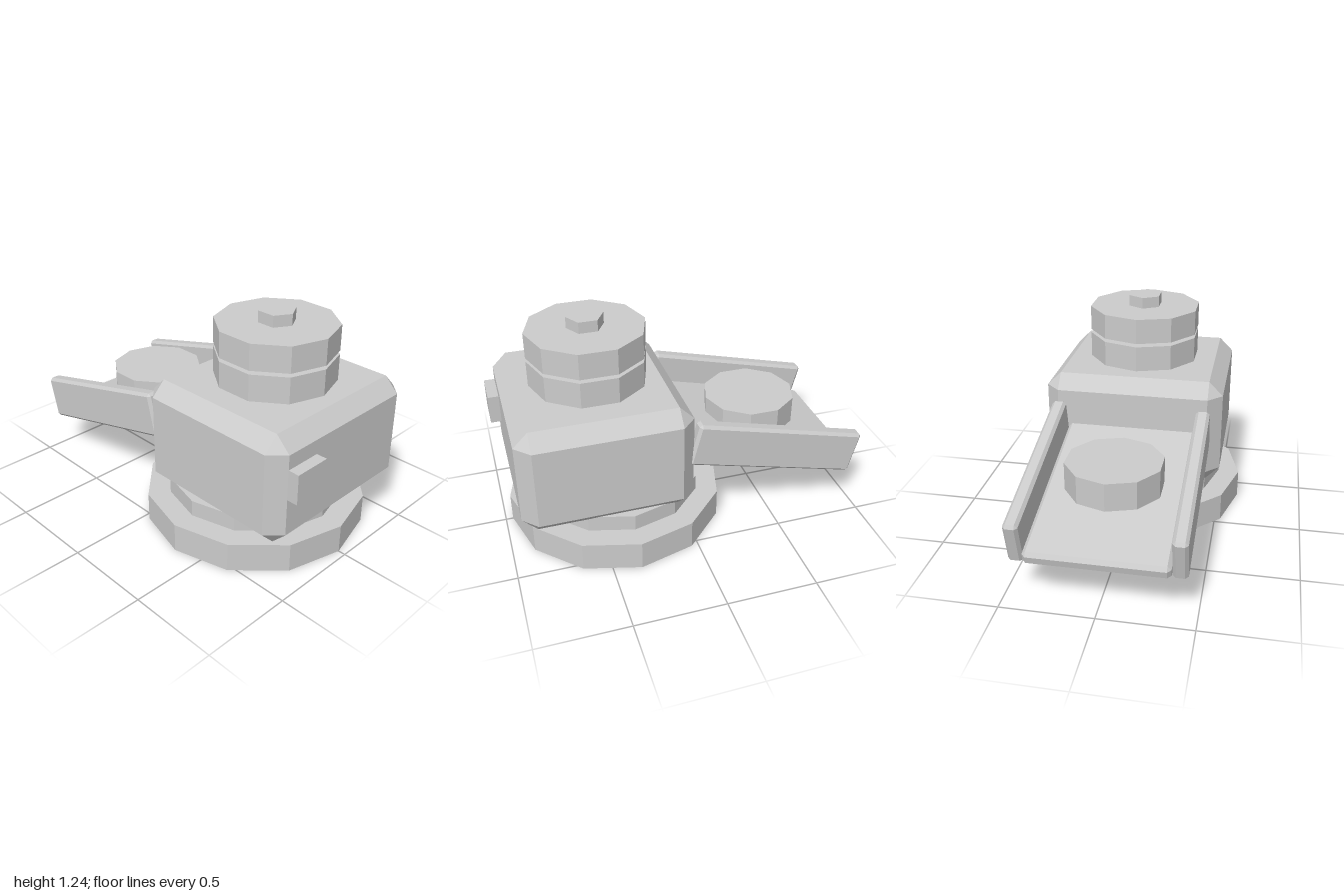
import * as THREE from 'three';
import { ConvexGeometry } from 'three/addons/geometries/ConvexGeometry.js';

const material = new THREE.MeshStandardMaterial({ color: 0xcccccc, flatShading: true });

// Box with every edge cut by a flat chamfer c
function chamferBox(w, h, d, c) {
  const points = [];
  for (const sx of [-1, 1]) for (const sy of [-1, 1]) for (const sz of [-1, 1]) {
    const x = w / 2, y = h / 2, z = d / 2;
    points.push(
      new THREE.Vector3(sx * x, sy * (y - c), sz * (z - c)),
      new THREE.Vector3(sx * (x - c), sy * y, sz * (z - c)),
      new THREE.Vector3(sx * (x - c), sy * (y - c), sz * z)
    );
  }
  return new ConvexGeometry(points);
}

function add(parent, name, geometry, x, y, z) {
  const mesh = new THREE.Mesh(geometry, material);
  mesh.name = name;
  mesh.position.set(x, y, z);
  parent.add(mesh);
  return mesh;
}

// Upright low-poly disc between two heights
function disc(parent, name, radius, sides, y0, y1, z) {
  const geometry = new THREE.CylinderGeometry(radius, radius, y1 - y0, sides);
  return add(parent, name, geometry, 0, (y0 + y1) / 2, z);
}

export function createModel() {
  const model = new THREE.Group();
  model.name = 'model';

  // Stepped base
  disc(model, 'basePlate', 0.615, 12, 0.045, 0.208, 0.345);
  disc(model, 'baseCollar', 0.49, 12, 0.208, 0.3, 0.347);

  // Chamfered body with a small block on the front
  add(model, 'body', chamferBox(1.02, 0.612, 0.94, 0.08), 0, 0.597, 0.47);
  add(model, 'frontBlock', new THREE.BoxGeometry(0.205, 0.165, 0.1), -0.328, 0.66, 0.95);

  // Stacked discs and knob on top
  disc(model, 'lowerDisc', 0.326, 10, 0.915, 1.06, 0.465);
  disc(model, 'upperDisc', 0.326, 10, 1.08, 1.222, 0.465);
  disc(model, 'topKnob', 0.101, 6, 1.222, 1.285, 0.465);

  // Sloping tray at the back with two side rails
  const tray = new THREE.Group();
  tray.name = 'tray';
  tray.position.set(0, 0.532, -0.487);
  tray.rotation.x = -0.25;
  add(tray, 'trayFloor', chamferBox(0.74, 0.08, 1.046, 0.02), 0, -0.075, 0);
  for (const side of [-1, 1]) {
    add(tray, side > 0 ? 'leftRail' : 'rightRail', chamferBox(0.078, 0.25, 1.005, 0.016), side * 0.411, 0, 0);
  }
  model.add(tray);

  // Level disc resting on the tray
  disc(model, 'trayDisc', 0.265, 10, 0.505, 0.66, -0.48);

  return model;
}
